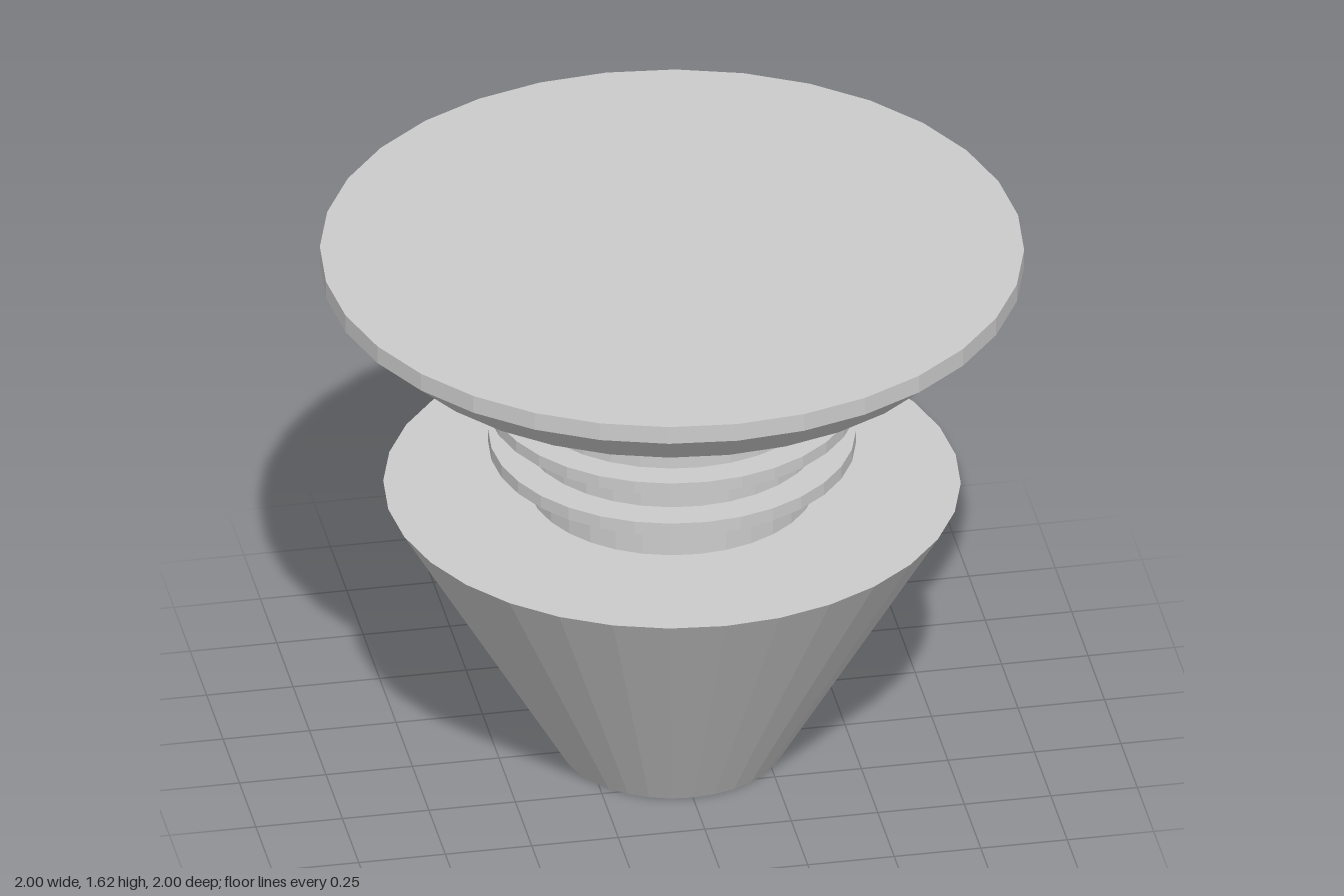
import * as THREE from 'three';

const SIDES = 32;

export function createModel() {
  const model = new THREE.Group();
  const material = new THREE.MeshStandardMaterial({ color: 0xcccccc, flatShading: true });

  // Turned part from a [radius, height] profile, listed bottom to top
  const turn = (name, profile) => {
    const points = profile.map(([r, y]) => new THREE.Vector2(r, y));
    const mesh = new THREE.Mesh(new THREE.LatheGeometry(points, SIDES), material);
    mesh.name = name;
    model.add(mesh);
  };

  // Tapered plug at the bottom
  turn('taperedBase', [[0, 0], [0.32, 0], [0.82, 0.855], [0, 0.855]]);

  // Stepped shaft with three thin rings: [radius, bottom, top] per step
  const steps = [
    [0.41, 0.855, 0.985],
    [0.522, 0.985, 1.025], // lower ring
    [0.43, 1.025, 1.125],
    [0.53, 1.125, 1.162], // middle ring
    [0.446, 1.162, 1.265],
    [0.53, 1.265, 1.299], // upper ring
    [0.462, 1.299, 1.362],
    [0.505, 1.362, 1.405],
    [0.616, 1.405, 1.442], // collar under the cap
  ];
  turn('ringedShaft', steps.flatMap(([r, y0, y1]) => [[r, y0], [r, y1]]));

  // Wide flat cap with a bevelled underside
  turn('cap', [[0, 1.442], [0.86, 1.442], [1, 1.57], [1, 1.625], [0, 1.625]]);

  return model;
}
